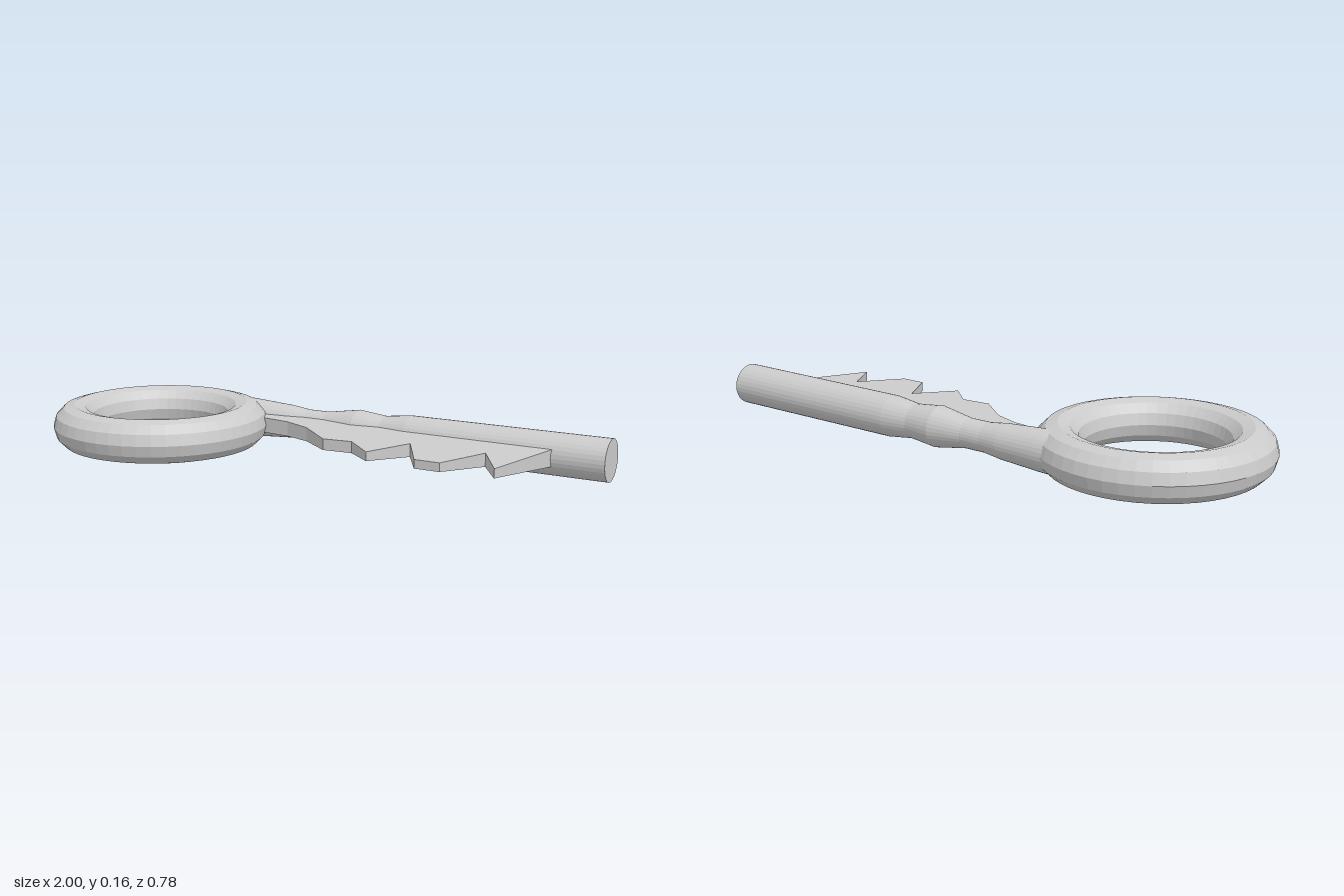
import * as THREE from 'three';

const MID = 0.078; // height of the key's central plane

export function createModel() {
  const key = new THREE.Group();
  key.name = 'key';
  const material = new THREE.MeshStandardMaterial({ color: 0xcccccc, flatShading: true });
  const add = (name, geometry, x, y, z) => {
    const mesh = new THREE.Mesh(geometry, material);
    mesh.name = name;
    mesh.position.set(x, y, z);
    key.add(mesh);
    return mesh;
  };

  // Ring handle lying flat
  const ring = new THREE.TorusGeometry(0.312, 0.078, 12, 48);
  ring.rotateX(-Math.PI / 2);
  add('ringHandle', ring, -0.61, MID, 0);

  // Turned shaft: [radius, position along x], with a waist and a collar near the ring
  const profile = [
    [0, -0.42], [0.072, -0.42], [0.07, -0.36], [0.06, -0.2], [0.051, -0.13], [0.051, -0.05],
    [0.071, 0.075], [0.06, 0.18], [0.072, 0.28], [0.073, 1], [0, 1],
  ].map(([r, x]) => new THREE.Vector2(r, x));
  const shaft = new THREE.LatheGeometry(profile, 32);
  shaft.rotateZ(-Math.PI / 2);
  add('shaft', shaft, 0, MID, -0.25);

  // Toothed blade: outline in x and z, closed inside the shaft
  const outline = [
    [-0.3, -0.25], [-0.26, -0.145], [-0.15, -0.13], [-0.05, -0.09], [0.075, 0.015],
    [0.18, 0.005], [0.28, 0.095], [0.37, -0.055], [0.46, 0.108], [0.55, 0.108],
    [0.64, -0.055], [0.73, 0.095], [0.82, -0.185], [0.82, -0.25],
  ].map(([x, z]) => new THREE.Vector2(x, z));
  const blade = new THREE.ExtrudeGeometry(new THREE.Shape(outline), { depth: 2, bevelEnabled: false });
  blade.translate(0, 0, -1);
  blade.rotateX(Math.PI / 2);
  // Taper the thickness from the shaft towards the tooth tips
  const p = blade.attributes.position;
  for (let i = 0; i < p.count; i++) {
    const t = (p.getZ(i) + 0.18) / 0.29;
    p.setY(i, p.getY(i) * THREE.MathUtils.lerp(0.029, 0.015, t));
  }
  blade.computeVertexNormals();
  add('toothedBlade', blade, 0, MID, 0);

  return key;
}
